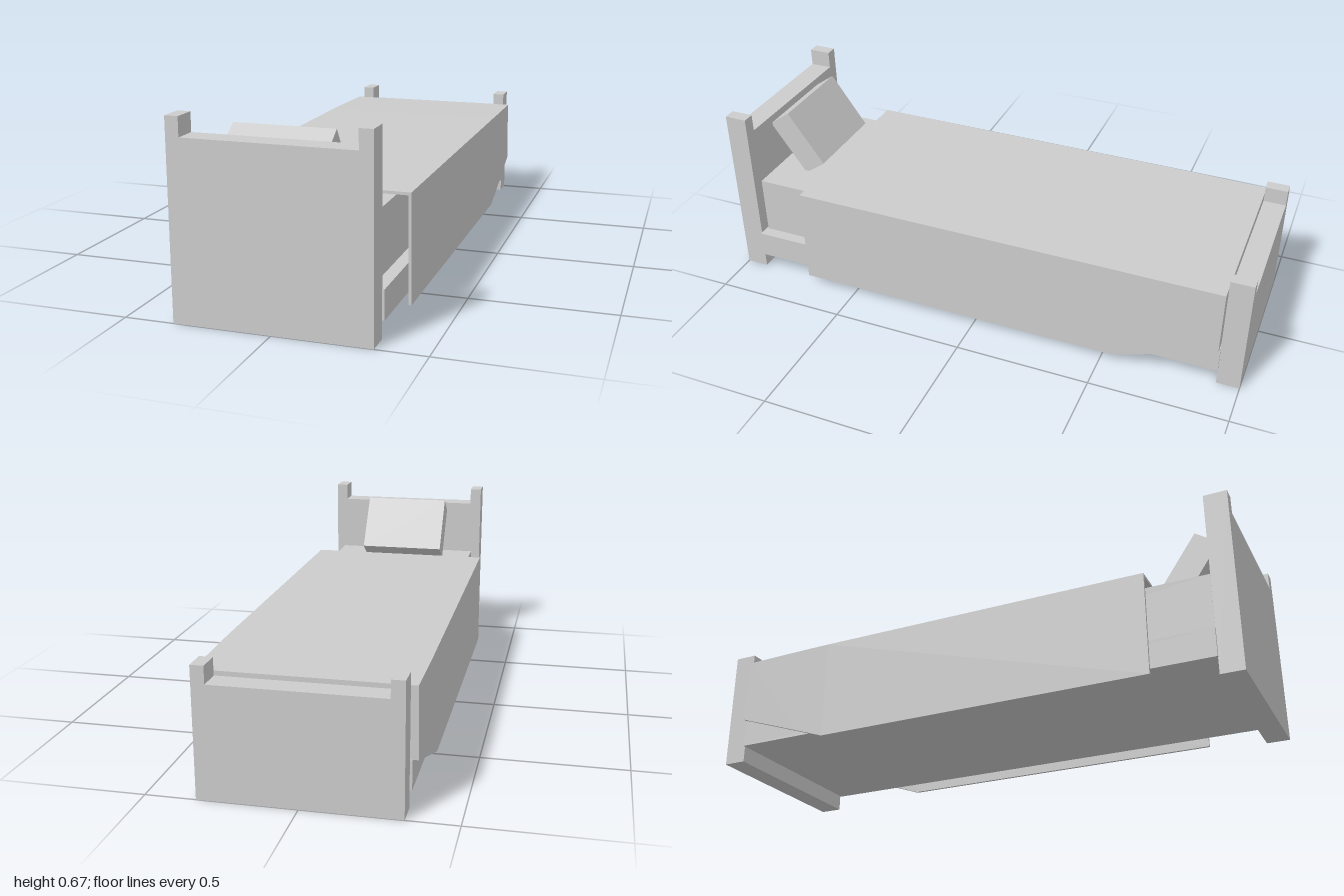
import * as THREE from 'three';

const material = new THREE.MeshStandardMaterial({ color: 0xcccccc, flatShading: true });

function add(parent, name, geometry, x = 0, y = 0, z = 0) {
  const mesh = new THREE.Mesh(geometry, material);
  mesh.name = name;
  mesh.position.set(x, y, z);
  parent.add(mesh);
  return mesh;
}

// Solid end board with a raised post at each side, cut from one outline
function endBoard(boardTop, postTop) {
  const w = 0.33, inner = 0.285;
  const outline = [[-w, 0], [w, 0], [w, postTop], [inner, postTop], [inner, boardTop],
    [-inner, boardTop], [-inner, postTop], [-w, postTop]];
  const shape = new THREE.Shape(outline.map(([x, y]) => new THREE.Vector2(x, y)));
  return new THREE.ExtrudeGeometry(shape, { depth: 0.083, bevelEnabled: false });
}

// Thin folded cover, lofted through U-shaped sections: [z, halfWidth, bottom, top]
function blanketGeometry() {
  const t = 0.01;
  const rings = [
    [0.70, 0.361, 0.032, 0.405],
    [-0.55, 0.361, 0.032, 0.404],
    [-0.66, 0.361, 0.071, 0.403],
    [-0.914, 0.357, 0.16, 0.4],
  ].map(([z, w, b, h]) => {
    const c = w - 0.004; // upper corners lean in slightly
    return [[-w, b], [-c, h], [c, h], [w, b], [w - t, b], [c - t, h - t], [t - c, h - t], [t - w, b]]
      .map(([x, y]) => [x, y, z]);
  });
  const pos = [];
  const quad = (a, b, c, d) => pos.push(...a, ...b, ...c, ...a, ...c, ...d);
  for (let s = 0; s < rings.length - 1; s++) {
    const a = rings[s], b = rings[s + 1];
    for (let i = 0; i < 8; i++) {
      const j = (i + 1) % 8;
      quad(a[i], a[j], b[j], b[i]);
    }
  }
  // Close both cut edges
  const f = rings[0], e = rings[rings.length - 1];
  for (const [p, q, r, s] of [[0, 1, 6, 7], [1, 2, 5, 6], [2, 3, 4, 5]]) {
    quad(f[s], f[r], f[q], f[p]);
    quad(e[p], e[q], e[r], e[s]);
  }
  const geometry = new THREE.BufferGeometry();
  geometry.setAttribute('position', new THREE.Float32BufferAttribute(pos, 3));
  geometry.computeVertexNormals();
  return geometry;
}

export function createModel() {
  const bed = new THREE.Group();
  bed.name = 'bed';

  // Frame
  add(bed, 'headboard', endBoard(0.6, 0.665), 0, 0, 0.917);
  add(bed, 'footboard', endBoard(0.385, 0.445), 0, 0, -1);
  add(bed, 'bedBase', new THREE.BoxGeometry(0.676, 0.1, 1.836), 0, 0.11, 0);

  // Bedding
  add(bed, 'mattress', new THREE.BoxGeometry(0.59, 0.222, 1.81), 0, 0.271, 0.004);
  const blanket = new THREE.Group();
  blanket.name = 'blanket';
  bed.add(blanket);
  add(blanket, 'blanketCover', blanketGeometry());
  add(blanket, 'blanketFootEnd', new THREE.BoxGeometry(0.704, 0.237, 0.008), 0, 0.2785, -0.91);

  // Pillow leaning on the headboard
  const pillow = add(bed, 'pillow', new THREE.BoxGeometry(0.341, 0.235, 0.1), -0.008, 0.499, 0.815);
  pillow.rotation.x = 0.613;

  return bed;
}
